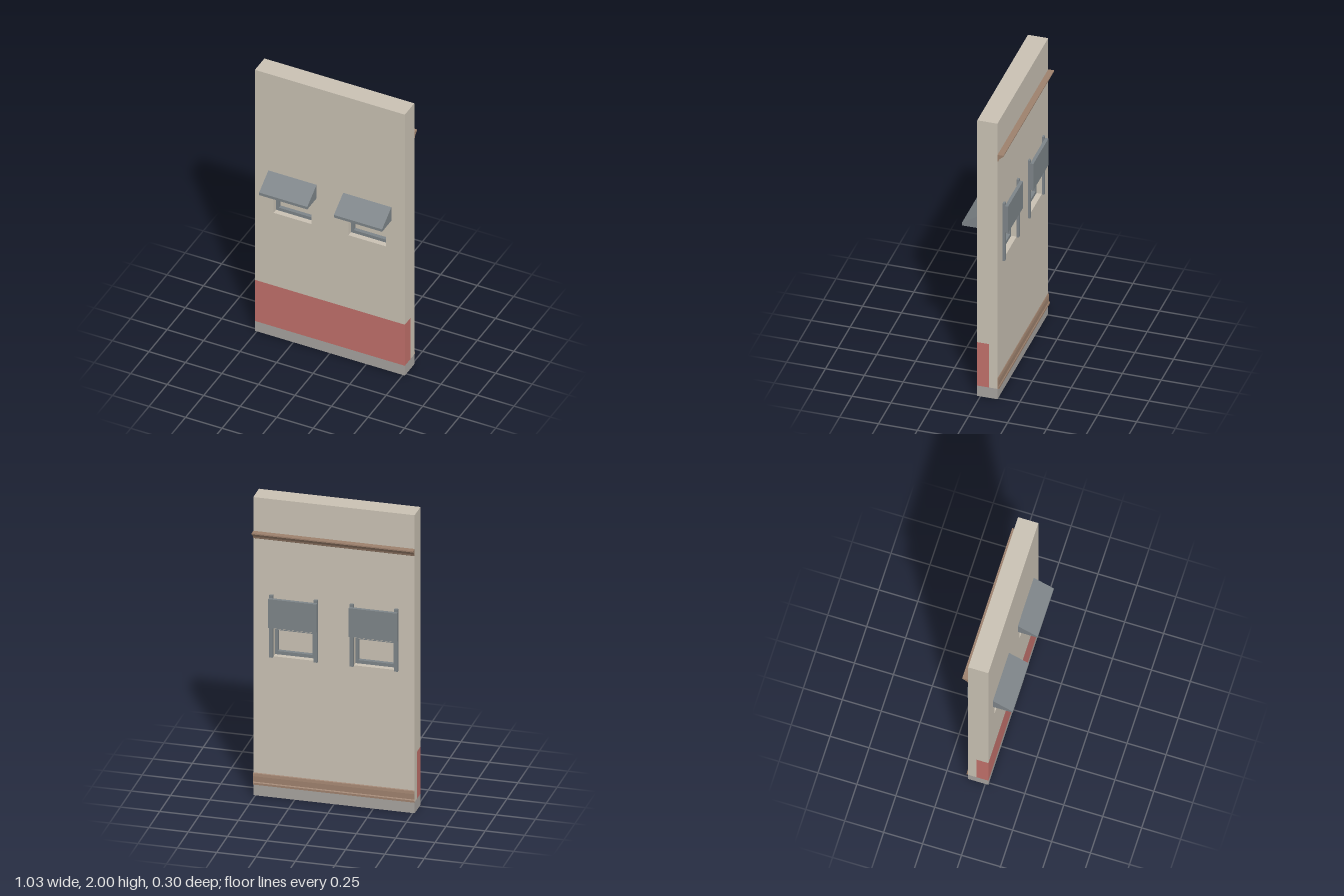
import * as THREE from 'three';

const mat = (name, color) => {
  const m = new THREE.MeshStandardMaterial({ color });
  m.name = name;
  return m;
};

const FRONT = 0.02, BACK = -0.11, HALF = 0.513, DEPTH = FRONT - BACK;

export function createModel() {
  const plaster = mat('plaster', 0xc9c1b3);
  const red = mat('redPaint', 0xc0706a);
  const stone = mat('stone', 0xa6a29e);
  const metal = mat('greyMetal', 0x7d8488);
  const wood = mat('brownWood', 0x9d816d);

  const model = new THREE.Group();
  model.name = 'wallPanel';

  const add = (parent, name, geometry, material) => {
    const mesh = new THREE.Mesh(geometry, material);
    mesh.name = name;
    parent.add(mesh);
    return mesh;
  };

  // Box given by its limits on each axis
  const box = (parent, name, material, [x0, x1], [y0, y1], [z0, z1]) =>
    add(parent, name, new THREE.BoxGeometry(x1 - x0, y1 - y0, z1 - z0), material)
      .position.set((x0 + x1) / 2, (y0 + y1) / 2, (z0 + z1) / 2);

  // Profile of [z, y] points swept along x and centred on x = 0
  const sweep = (parent, name, material, points, width) => {
    const shape = new THREE.Shape(points.map(p => new THREE.Vector2(...p)));
    const geometry = new THREE.ExtrudeGeometry(shape, { depth: width, bevelEnabled: false });
    geometry.rotateY(-Math.PI / 2).translate(width / 2, 0, 0);
    add(parent, name, geometry, material);
  };

  const rect = (Type, x0, x1, y0, y1) => new Type([
    new THREE.Vector2(x0, y0), new THREE.Vector2(x1, y0),
    new THREE.Vector2(x1, y1), new THREE.Vector2(x0, y1),
  ]);

  // Opening half width, bottom and top
  const W = 0.129, Y0 = 0.947, Y1 = 1.132, windowX = [-0.256, 0.256];

  // Upper wall with two window openings
  const wallShape = rect(THREE.Shape, -HALF, HALF, 0.39, 2);
  for (const x of windowX) wallShape.holes.push(rect(THREE.Path, x - W, x + W, Y0, Y1));
  const wall = new THREE.ExtrudeGeometry(wallShape, { depth: DEPTH, bevelEnabled: false });
  add(model, 'wall', wall.translate(0, 0, BACK), plaster);

  // Lower wall: red front band, plain rear half, stone base
  box(model, 'redBand', red, [-HALF, HALF], [0.075, 0.39], [-0.055, FRONT]);
  box(model, 'lowerWallBack', plaster, [-HALF, HALF], [0.075, 0.39], [BACK, -0.055]);
  box(model, 'base', stone, [-HALF, HALF], [0, 0.075], [BACK, FRONT]);

  // Mouldings along the back
  sweep(model, 'crownMoulding', wood, [
    [BACK, 1.725], [-0.115, 1.728], [-0.12, 1.74], [-0.131, 1.753],
    [-0.141, 1.76], [-0.148, 1.766], [-0.148, 1.774], [BACK, 1.774],
  ], HALF * 2);
  sweep(model, 'baseMoulding', wood, [
    [BACK, 0.075], [-0.12, 0.075], [-0.12, 0.088], [-0.116, 0.094],
    [-0.116, 0.13], [-0.113, 0.148], [BACK, 0.153],
  ], HALF * 2);

  // Windows, each with frame, awning, rails and sliding shutter
  for (const x of windowX) {
    const win = new THREE.Group();
    win.name = x < 0 ? 'rightWindow' : 'leftWindow';
    win.position.x = x;
    model.add(win);

    const t = 0.018;
    const ring = rect(THREE.Shape, -W, W, Y0, Y1);
    ring.holes.push(rect(THREE.Path, -W + t, W - t, Y0 + t + 0.004, Y1 - t - 0.004));
    const frame = new THREE.ExtrudeGeometry(ring, { depth: 0.06, bevelEnabled: false });
    add(win, 'windowFrame', frame.translate(0, 0, -0.075), metal);
    box(win, 'windowPanel', plaster, [-W + t, W - t], [Y0 + t, Y1 - t], [-0.05, -0.04]);

    sweep(win, 'awning', metal, [
      [FRONT, 1.157], [0.148, 1.157], [0.148, 1.176], [FRONT, 1.26],
    ], 0.33);

    for (const s of [-1, 1]) {
      const a = s * 0.153, b = s * 0.13;
      box(win, 'shutterRail', metal, [Math.min(a, b), Math.max(a, b)], [0.942, 1.36], [-0.124, BACK]);
    }
    box(win, 'shutter', metal, [-0.153, 0.153], [1.15, 1.342], [-0.145, -0.124]);
  }

  return model;
}
